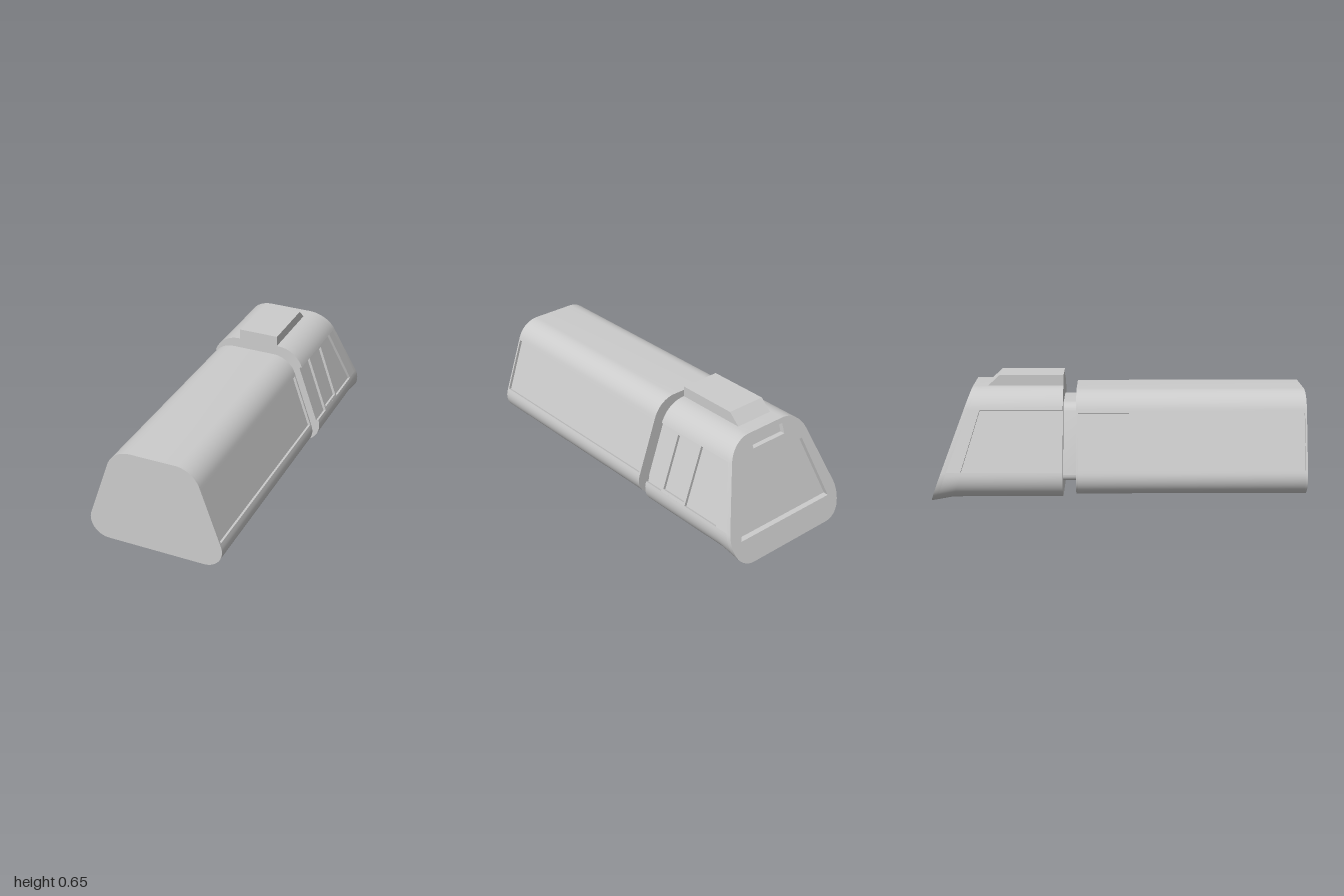
import * as THREE from 'three';
import { toCreasedNormals } from 'three/addons/utils/BufferGeometryUtils.js';

const TILT = 0.336; // lean of the flat side walls
const COS = Math.cos(TILT), SIN = Math.sin(TILT);
const TOP = { x: 0.12, y: 0.44, r: 0.138 };
const LOW = { x: 0.266, y: 0.137, r: 0.1 };
const HEAD = 0.015; // how far the head stands out from the body
const FRONT = -0.295, LIP = 0.027;
const backZ = (y) => -1 + 0.367 * y; // sloping rear plane

const material = new THREE.MeshStandardMaterial({ color: 0xcccccc });

function add(group, name, geometry) {
  const mesh = new THREE.Mesh(toCreasedNormals(geometry, 0.5), material);
  mesh.name = name;
  group.add(mesh);
}

// Rounded trapezoid grown by off; notch sinks the flat sides, leaving a margin
function profile(off, notch = 0, margin = 0) {
  const pts = [];
  const arc = (c, from, to) => {
    for (let i = 0; i <= 14; i++) {
      const a = from + ((to - from) * i) / 14;
      pts.push([c.x + (c.r + off) * Math.cos(a), c.y + (c.r + off) * Math.sin(a)]);
    }
  };
  arc(LOW, -Math.PI / 2, TILT);
  if (notch) {
    const a = pts[pts.length - 1];
    const b = [TOP.x + (TOP.r + off) * COS, TOP.y + (TOP.r + off) * SIN];
    const step = (p, along, inward) => pts.push([
      p[0] - SIN * along - COS * inward, p[1] + COS * along - SIN * inward]);
    if (margin) step(a, margin, 0);
    step(a, margin, notch);
    step(b, -margin, notch);
    if (margin) step(b, -margin, 0);
  }
  arc(TOP, TILT, Math.PI / 2);
  const all = [...pts, ...pts.map(([x, y]) => [-x, y]).reverse()];
  return new THREE.Shape(all.map(([x, y]) => new THREE.Vector2(x, y)));
}

const polygon = (Type, pts) => new Type(pts.map(([x, y]) => new THREE.Vector2(x, y)));

const extrude = (shape, depth, steps = 1) =>
  new THREE.ExtrudeGeometry(shape, { depth, steps, bevelEnabled: false });

const slab = (shape, z0, z1) => extrude(shape, z1 - z0).translate(0, 0, z0);

// Move every vertex by a rule
function warp(geometry, rule) {
  const p = geometry.attributes.position, v = new THREE.Vector3();
  for (let i = 0; i < p.count; i++) {
    rule(v.fromBufferAttribute(p, i));
    p.setXYZ(i, v.x, v.y, v.z);
  }
  return geometry;
}

// The lower edge dips towards the rear
const dip = (y, t) => y - 0.022 * t * THREE.MathUtils.clamp((0.17 - y) / 0.1, 0, 1);

// Plate lying on a flat side wall of the head, drawn in (z, y)
function sidePlate(side, outline, hole) {
  const flip = (pts) => pts.map(([z, y]) => [z * side, y]);
  const shape = polygon(THREE.Shape, flip(outline));
  if (hole) shape.holes.push(polygon(THREE.Path, flip(hole)));
  const geometry = extrude(shape, HEAD).rotateY((-side * Math.PI) / 2);
  const x0 = LOW.x + (LOW.r + HEAD) * COS, y0 = LOW.y + (LOW.r + HEAD) * SIN;
  return warp(geometry, (v) => {
    const d = Math.abs(v.x);
    v.x = side * (x0 - (v.y - y0) * Math.tan(TILT) - d * COS);
    v.y -= d * SIN;
  });
}

const rect = (z0, z1, y0, y1) => [[z0, y0], [z1, y0], [z1, y1], [z0, y1]];

export function createModel() {
  const model = new THREE.Group();

  // Long body with a sunken panel on each side
  const body = new THREE.Group();
  body.name = 'body';
  add(body, 'bodyFrontEnd', slab(profile(0), 0.99, 1));
  add(body, 'bodyMiddle', slab(profile(0, 0.015, 0.014), -0.215, 0.99));
  add(body, 'bodyRearEnd', slab(profile(0), -0.225, -0.215));
  model.add(body);

  add(model, 'neck', slab(profile(-0.07), -0.3, -0.22));

  // Head core, running back to the sloping rear
  const head = new THREE.Group();
  head.name = 'head';
  add(head, 'headCore', warp(extrude(profile(HEAD, HEAD), 1, 2), (v) => {
    if (v.z > 0.9) v.z = FRONT;
    else if (v.z > 0.1) v.z = backZ(v.y) + 0.112;
    else {
      v.y = dip(v.y, 0.76);
      v.z = backZ(v.y) + LIP;
    }
  }));

  // Rear frame with a large sunken panel and a slot above it
  const rear = profile(HEAD);
  rear.holes.push(
    polygon(THREE.Path, [[-0.315, 0.13], [0.315, 0.13], [0.22, 0.455], [-0.22, 0.455]]),
    polygon(THREE.Path, rect(-0.11, 0.11, 0.515, 0.568)));
  add(head, 'rearFrame', warp(extrude(rear, LIP), (v) => {
    const inner = v.z > LIP / 2;
    v.y = dip(v.y, inner ? 0.76 : 1);
    v.z = backZ(v.y) + (inner ? LIP : 0);
  }));

  // Side frames: one wide window on the right, three on the left
  const y0 = 0.175, y1 = 0.4905;
  for (const side of [-1, 1]) {
    add(head, side > 0 ? 'leftRearPillar' : 'rightRearPillar', sidePlate(side, [
      [-0.735, y1], [-0.833, y0], [backZ(y0) + LIP, y0], [backZ(y1) + LIP, y1]]));
  }
  add(head, 'leftWindowFrame', sidePlate(1,
    rect(-0.597, -0.415, y0, y1), rect(-0.585, -0.427, 0.19, 0.48)));

  // Raised block on the roof, sloped at the rear
  const block = polygon(THREE.Shape, [
    [FRONT, 0.56], [FRONT, 0.65], [-0.64, 0.65], [-0.705, 0.59], [-0.705, 0.56]]);
  add(head, 'roofBlock', extrude(block, 0.224).rotateY(-Math.PI / 2).translate(0.112, 0, 0));
  model.add(head);

  return model;
}
